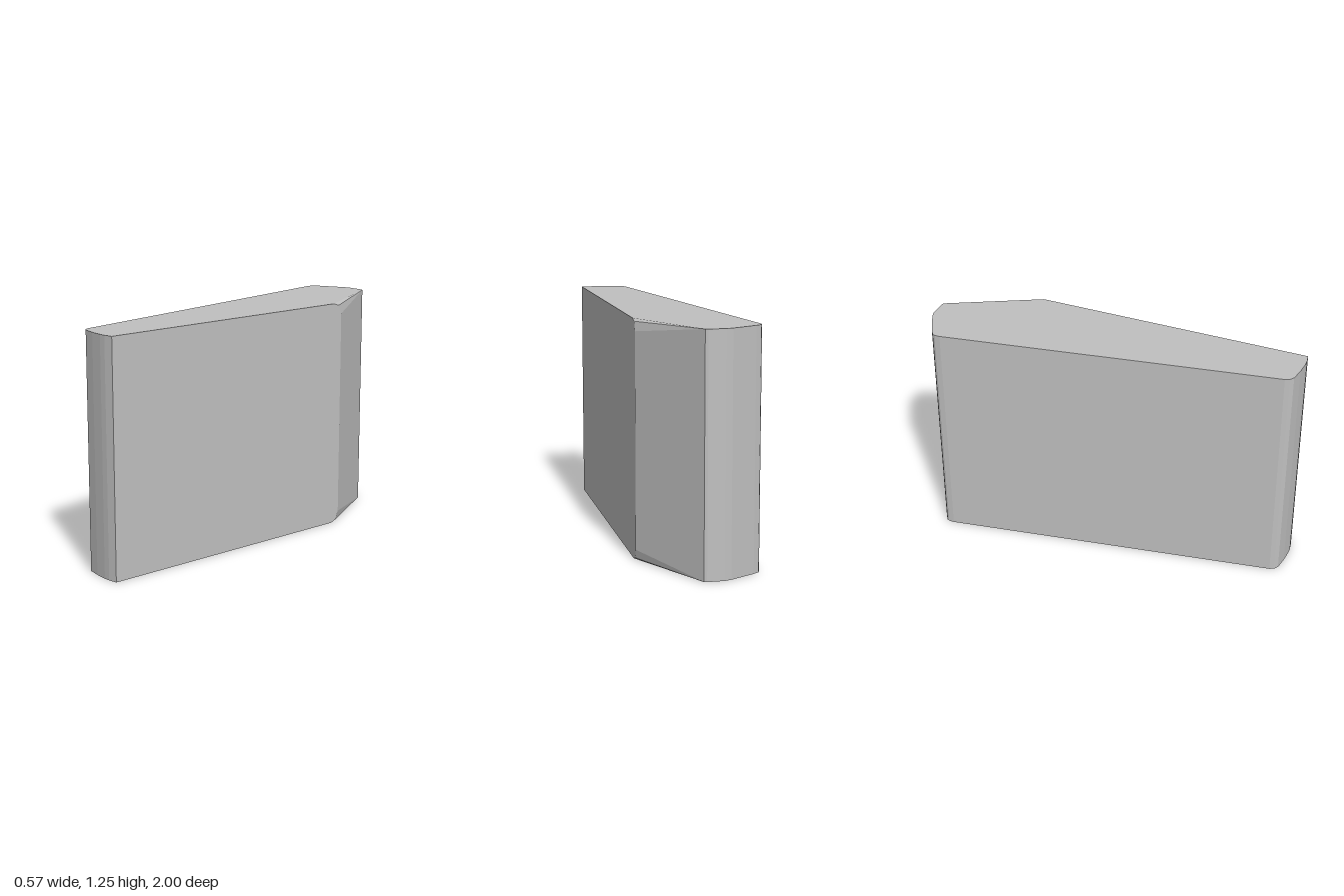
import * as THREE from 'three';

const HEIGHT = 1.25;

// Plan outline (x, z), counter-clockwise from above; index 1 is the clipped rear corner.
const OUTLINE = [
  [0.283, 0.99], [0.283, -0.57], [0.03, -0.995], [0.015, -1], [-0.075, -1], [-0.11, -0.99],
  [-0.245, -0.92], [-0.275, -0.9], [-0.283, -0.885], [-0.283, -0.855],
  [0.027, 0.945], [0.037, 0.967], [0.06, 0.984], [0.13, 0.995], [0.2, 1], [0.235, 0.999],
];
const CORNER = 1;

// Height and depth of the rear corner, from the bottom chamfer to the top one.
const CORNER_STEPS = [[0, -0.52], [0.012, -0.55], [0.06, -0.57], [1.19, -0.57], [1.238, -0.55], [HEIGHT, -0.51]];

function createWedgeGeometry() {
  // Only the corner moves between rings; the other points sit on the bottom or top.
  const rings = CORNER_STEPS.map(([y, z], level) => OUTLINE.map(([px, pz], i) =>
    i === CORNER
      ? new THREE.Vector3(px, y, z)
      : new THREE.Vector3(px, level < CORNER_STEPS.length / 2 ? 0 : HEIGHT, pz)));

  const positions = [];
  const addTriangle = (a, b, c) => {
    if (a.equals(b) || b.equals(c) || c.equals(a)) return;
    for (const p of [a, b, c]) positions.push(p.x, p.y, p.z);
  };

  // Sides and chamfers
  const n = OUTLINE.length;
  for (let r = 0; r < rings.length - 1; r++) {
    for (let i = 0; i < n; i++) {
      const j = (i + 1) % n;
      addTriangle(rings[r][i], rings[r][j], rings[r + 1][j]);
      addTriangle(rings[r][i], rings[r + 1][j], rings[r + 1][i]);
    }
  }

  // Bottom and top caps
  const bottom = rings[0];
  const top = rings[rings.length - 1];
  for (let i = 1; i < n - 1; i++) {
    addTriangle(bottom[0], bottom[i + 1], bottom[i]);
    addTriangle(top[0], top[i], top[i + 1]);
  }

  const geometry = new THREE.BufferGeometry();
  geometry.setAttribute('position', new THREE.Float32BufferAttribute(positions, 3));
  geometry.computeVertexNormals();
  return geometry;
}

export function createModel() {
  const grey = new THREE.MeshStandardMaterial({ color: 0xc0c0c0 });
  grey.name = 'light grey';

  const group = new THREE.Group();
  group.name = 'wedgeBlock';
  const body = new THREE.Mesh(createWedgeGeometry(), grey);
  body.name = 'wedgeBody';
  group.add(body);
  return group;
}
